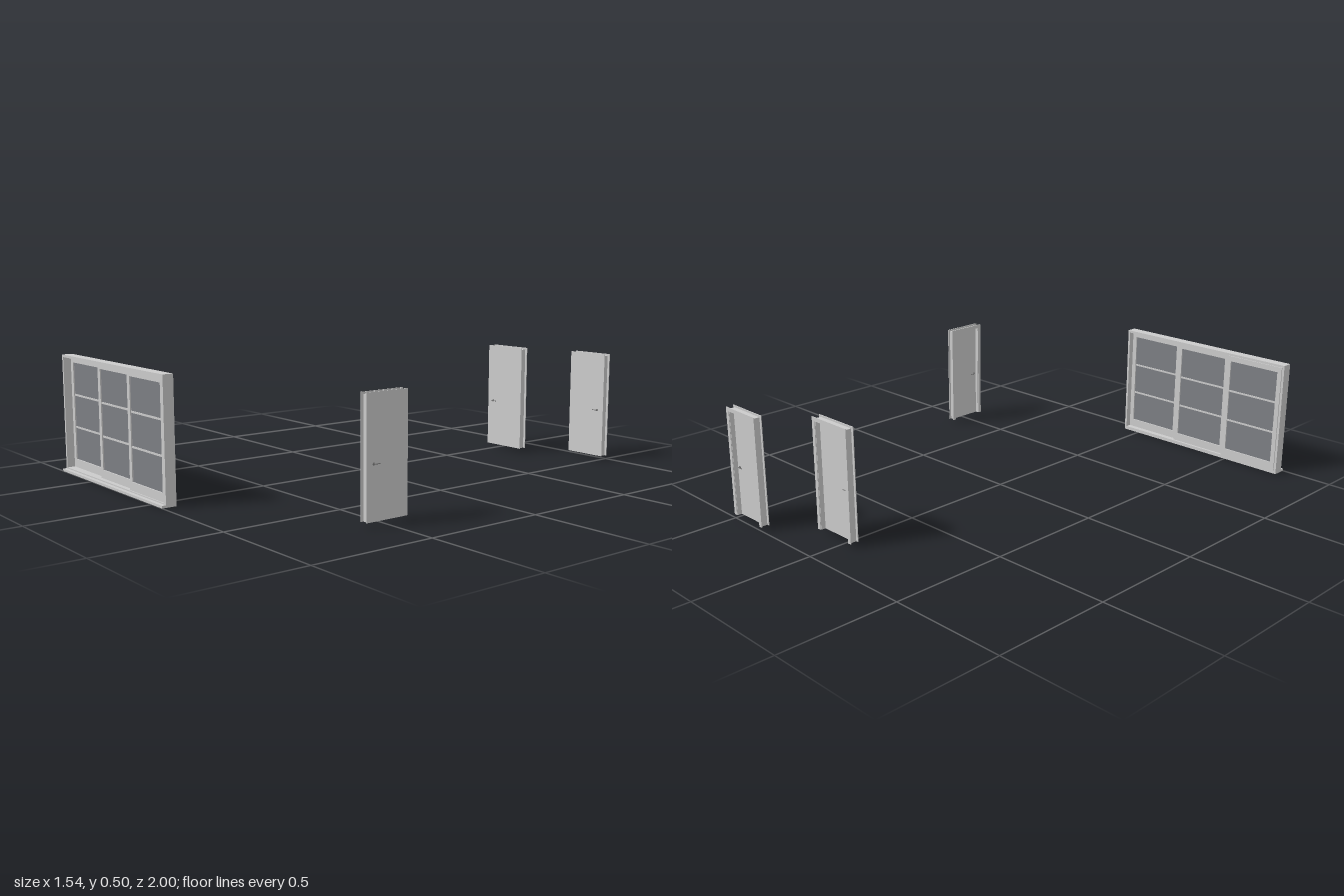
import * as THREE from 'three';

const grey = new THREE.MeshStandardMaterial({ color: 0xcccccc });
const glassMat = new THREE.MeshStandardMaterial({ color: 0x7d7f84 });
const metal = new THREE.MeshStandardMaterial({ color: 0x777777 });

// Box given by its minimum and maximum corners
function box(parent, name, [x0, y0, z0], [x1, y1, z1], mat = grey) {
  const mesh = new THREE.Mesh(new THREE.BoxGeometry(x1 - x0, y1 - y0, z1 - z0), mat);
  mesh.position.set((x0 + x1) / 2, (y0 + y1) / 2, (z0 + z1) / 2);
  mesh.name = name;
  parent.add(mesh);
}

// Upside-down U: two posts and a head, open at the floor
function portal(parent, name, w, y0, y1, t, z0, z1) {
  const h = w / 2;
  const s = new THREE.Shape([
    [-h, y0], [-h + t, y0], [-h + t, y1 - t], [h - t, y1 - t],
    [h - t, y0], [h, y0], [h, y1], [-h, y1],
  ].map(([x, y]) => new THREE.Vector2(x, y)));
  const geo = new THREE.ExtrudeGeometry(s, { depth: z1 - z0, bevelEnabled: false });
  const mesh = new THREE.Mesh(geo, grey);
  mesh.position.z = z0;
  mesh.name = name;
  parent.add(mesh);
}

// Lever handle: round rose, neck and a lever that points towards the hinges
function leverHandle(side) {
  const g = new THREE.Group();
  g.name = 'leverHandle';
  const rod = (name, r, len, x, z, alongX) => {
    const m = new THREE.Mesh(new THREE.CylinderGeometry(r, r, len, 16), metal);
    if (alongX) m.rotation.z = Math.PI / 2;
    else m.rotation.x = Math.PI / 2;
    m.position.set(x, 0, z);
    m.name = name;
    g.add(m);
  };
  rod('rose', 0.005, 0.002, 0, 0.001, false);
  rod('neck', 0.002, 0.007, 0, 0.0035, false);
  rod('lever', 0.0018, 0.025, -side * 0.0105, 0.007, true);
  return g;
}

// Door facing +z, centred on its own depth; side is +1 or -1 for the latch edge
function door(name, width, top, depth, side) {
  const g = new THREE.Group();
  g.name = name;
  const y0 = 0.015, d = depth / 2, trim = 0.003;
  portal(g, 'jamb', width - 0.02, y0, top - 0.008, 0.008, -d + trim, d - trim);
  portal(g, 'frontArchitrave', width, y0, top, 0.012, d - trim, d);
  portal(g, 'backArchitrave', width, y0, top, 0.016, -d, -d + trim);

  // Leaf sits flush with the front and recessed at the back
  const leafHalf = width / 2 - 0.012;
  const leafBack = d - 0.014;
  box(g, 'leaf', [-leafHalf, y0, leafBack], [leafHalf, top - 0.012, d]);

  const hx = side * (width / 2 - 0.032);
  const front = leverHandle(side);
  front.position.set(hx, 0.22, d);
  const back = leverHandle(-side);
  back.rotation.y = Math.PI;
  back.position.set(hx, 0.22, leafBack);
  g.add(front, back);
  return g;
}

// Sliding sash: stiles, rails, a pane and two glazing bars
function sash(x0, x1, z0, z1) {
  const g = new THREE.Group();
  g.name = 'slidingSash';
  const y0 = 0.015, y1 = 0.485, stile = 0.02, g0 = 0.05, g1 = 0.462;
  const mid = (z0 + z1) / 2;
  box(g, 'stile', [x0, y0, z0], [x0 + stile, y1, z1]);
  box(g, 'stile', [x1 - stile, y0, z0], [x1, y1, z1]);
  box(g, 'bottomRail', [x0 + stile, y0, z0], [x1 - stile, g0, z1]);
  box(g, 'topRail', [x0 + stile, g1, z0], [x1 - stile, y1, z1]);
  box(g, 'pane', [x0 + stile, g0, mid - 0.002], [x1 - stile, g1, mid + 0.002], glassMat);
  for (const y of [0.188, 0.325]) {
    box(g, 'glazingBar', [x0 + stile, y - 0.004, mid - 0.004], [x1 - stile, y + 0.004, mid + 0.004]);
  }
  return g;
}

// Three-part glazed sliding door with its frame and projecting sill
function glazedDoor() {
  const g = new THREE.Group();
  g.name = 'glazedSlidingDoor';
  const x0 = -0.77, x1 = 0.08, z0 = 0.94, z1 = 0.984, t = 0.01;
  box(g, 'sill', [x0, 0, z0], [x1, 0.01, 1]);
  box(g, 'threshold', [x0 + t, 0.01, z0], [x1 - t, 0.015, z1]);
  box(g, 'frameSide', [x0, 0.01, z0], [x0 + t, 0.495, z1]);
  box(g, 'frameSide', [x1 - t, 0.01, z0], [x1, 0.495, z1]);
  box(g, 'frameHead', [x0 + t, 0.485, z0], [x1 - t, 0.495, z1]);

  // Each sash runs on its own track, stepping forward towards +x
  const edges = [-0.76, -0.483, -0.207, 0.07];
  for (let i = 0; i < 3; i++) {
    const z = 0.936 + i * 0.0145;
    g.add(sash(edges[i], edges[i + 1], z, z + 0.0145));
  }
  return g;
}

export function createModel() {
  const model = new THREE.Group();
  model.name = 'doorSet';
  model.add(glazedDoor());

  const wide = door('wideDoor', 0.206, 0.478, 0.037, -1);
  wide.position.set(0.051, 0, -0.83);

  const back = door('backDoor', 0.19, 0.469, 0.036, 1);
  back.position.set(0.41, 0, -0.982);

  const sideDoor = door('sideDoor', 0.187, 0.469, 0.031, -1);
  sideDoor.rotation.y = Math.PI / 2;
  sideDoor.position.set(0.746, 0, 0.495);

  model.add(wide, back, sideDoor);
  return model;
}
